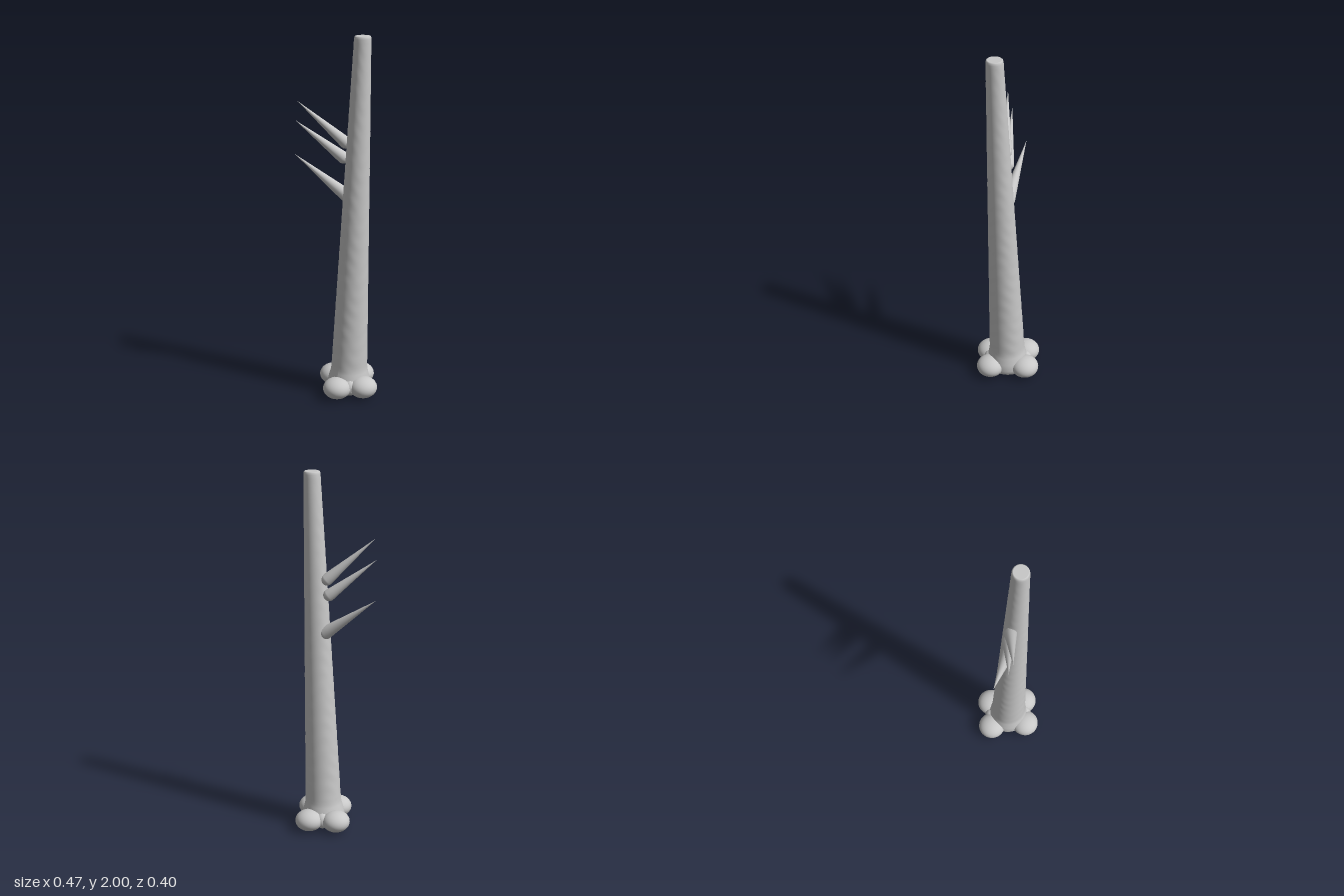
import * as THREE from 'three';

export function createModel() {
  const group = new THREE.Group();
  const stone = new THREE.MeshStandardMaterial({ color: 0xc8c8c8 });
  stone.name = 'pale grey';

  const add = (name, geometry) => {
    const mesh = new THREE.Mesh(geometry, stone);
    mesh.name = name;
    group.add(mesh);
    return mesh;
  };

  // Leaning, tapered trunk with a flared foot and a slightly softened top rim
  const profile = [[0, 0.012], [0.09, 0.012], [0.112, 0.022], [0.12, 0.05], [0.113, 0.09], [0.103, 0.13]];
  for (let i = 0; i <= 90; i++) {
    const t = i / 90;
    profile.push([0.1 - 0.055 * t, 0.15 + 1.835 * t]);
  }
  profile.push([0.043, 1.996], [0.039, 2], [0.037, 2], [0, 2]);
  const trunk = new THREE.LatheGeometry(profile.map(([x, y]) => new THREE.Vector2(x, y)), 48);
  const pos = trunk.attributes.position;
  for (let i = 0; i < pos.count; i++) {
    const x = pos.getX(i), y = pos.getY(i), z = pos.getZ(i);
    const angle = Math.atan2(z, x);
    // Faint bark ripple
    const ripple = y > 0.14 && y < 1.98
      ? 1 + 0.007 * Math.sin(75 * y + 2 * Math.sin(3 * angle)) * Math.cos(2 * angle + 9 * y) : 1;
    pos.setXYZ(i, x * ripple + 0.041 + 0.0455 * y, y, z * ripple);
  }
  trunk.computeVertexNormals();
  add('trunk', trunk);

  // Squashed round lobes at the foot
  const lobe = (name, x, z, r, h) => {
    const mesh = add(name, new THREE.SphereGeometry(1, 32, 20));
    mesh.scale.set(r, h, r);
    mesh.position.set(x, 0.059, z);
  };
  lobe('backRoot', 0.031, -0.124, 0.078, 0.059);
  lobe('rightRoot', -0.083, -0.026, 0.078, 0.059);
  lobe('frontRoot', 0.056, 0.122, 0.078, 0.059);
  lobe('leftRoot', 0.162, 0.024, 0.078, 0.059);
  // Bridges where neighbouring lobes merge
  lobe('rootBridgeBack', -0.024, -0.073, 0.04, 0.046);
  lobe('rootBridgeFront', 0.108, 0.073, 0.04, 0.046);

  // Pointed branches with rounded bases
  const branch = (name, base, tip, r) => {
    const from = new THREE.Vector3(...base);
    const dir = new THREE.Vector3(...tip).sub(from);
    const length = dir.length();
    const points = [];
    for (let i = 0; i <= 6; i++) {
      const a = (i / 6) * Math.PI / 2;
      points.push(new THREE.Vector2(r * Math.sin(a), -r * Math.cos(a)));
    }
    for (let i = 1; i <= 10; i++) {
      points.push(new THREE.Vector2(Math.max(r * (1 - i / 10), 0.0005), length * i / 10));
    }
    const mesh = add(name, new THREE.LatheGeometry(points, 20));
    mesh.position.copy(from);
    mesh.quaternion.setFromUnitVectors(new THREE.Vector3(0, 1, 0), dir.normalize());
  };
  branch('lowerBranch', [0.03, 1.135, 0.005], [-0.232, 1.345, 0.118], 0.037);
  branch('middleBranch', [0.018, 1.345, 0.018], [-0.18, 1.547, 0.174], 0.033);
  branch('upperBranch', [0.035, 1.428, 0.018], [-0.157, 1.655, 0.184], 0.033);

  return group;
}
